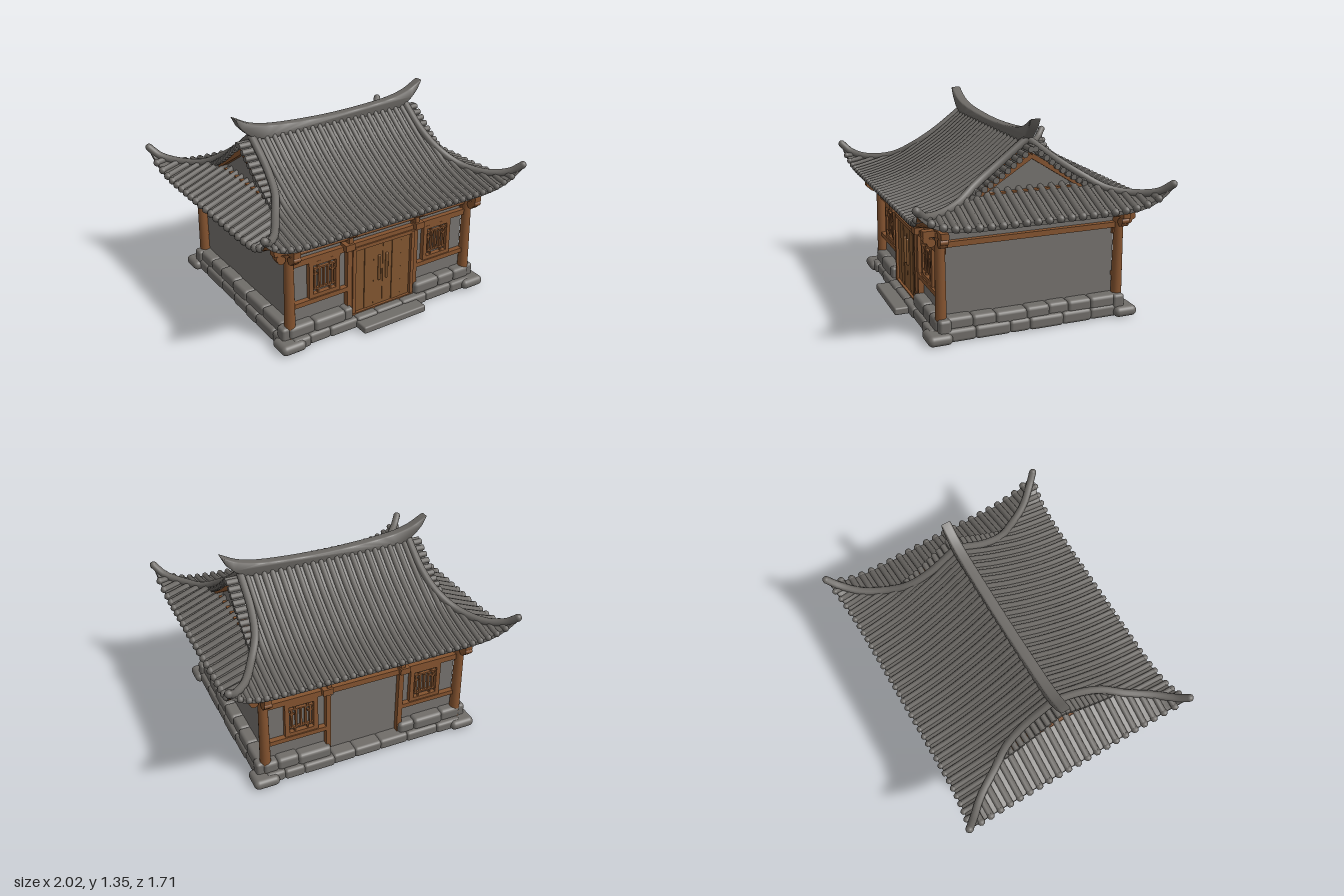
import * as THREE from 'three';
import { mergeGeometries, toCreasedNormals } from 'three/addons/utils/BufferGeometryUtils.js';
import { RoundedBoxGeometry } from 'three/addons/geometries/RoundedBoxGeometry.js';

const V = (x, y, z) => new THREE.Vector3(x, y, z);
const mix = THREE.MathUtils.lerp;
const SIDES = [1, -1];

export function createModel() {
  const model = new THREE.Group();
  const mat = (name, color, side = THREE.FrontSide) => {
    const m = new THREE.MeshStandardMaterial({ color, side });
    m.name = name;
    return m;
  };
  const tile = mat('roof tile grey', 0x6b6864, THREE.DoubleSide);
  const plaster = mat('plaster grey', 0x75726e);
  const stone = mat('stone grey', 0x706d69);
  const wood = mat('timber brown', 0x84532f, THREE.DoubleSide);
  const doorWood = mat('door brown', 0x80552f);

  let seed = 7;
  const rand = () => (seed = (seed * 16807) % 2147483647) / 2147483647;

  const add = (name, geo, material) => {
    const m = new THREE.Mesh(geo, material);
    m.name = name;
    model.add(m);
    return m;
  };
  const box = (name, w, h, d, x, y, z, material) =>
    add(name, new THREE.BoxGeometry(w, h, d), material).position.set(x, y, z);
  const rod = (r, len, axis, x, y, z) => {
    const g = new THREE.CylinderGeometry(r, r, len, 12);
    if (axis === 'x') g.rotateZ(Math.PI / 2);
    if (axis === 'z') g.rotateX(Math.PI / 2);
    return g.translate(x, y, z);
  };
  // Smooth sheet from a rule fn(u, v), u in -1..1, v in 0..1
  const sheet = (name, nu, nv, fn, material) => {
    const g = new THREE.PlaneGeometry(1, 1, nu, nv), p = g.attributes.position;
    for (let i = 0; i < p.count; i++) p.setXYZ(i, ...fn(p.getX(i) * 2, p.getY(i) + 0.5));
    g.computeVertexNormals();
    return add(name, g, material);
  };

  // ---- Roof form: hip line plus the slope profiles
  const hip = new THREE.CatmullRomCurve3([V(.61, 1.2, 0), V(.615, 1.05, .2), V(.65, .945, .36), V(.73, .865, .5),
    V(.83, .84, .66), V(.93, .865, .77), V(.985, .92, .83)]);
  const hipPts = hip.getPoints(80);
  const look = (pts, key, val, q) => {
    for (let i = 1; i < pts.length; i++) if (pts[i][key] >= q) {
      const a = pts[i - 1], b = pts[i];
      return mix(a[val], b[val], THREE.MathUtils.clamp((q - a[key]) / (b[key] - a[key] || 1), 0, 1));
    }
    return pts[pts.length - 1][val];
  };
  const mainPts = new THREE.CatmullRomCurve3([V(0, 1.2, 0), V(0, 1.12, .1), V(0, 1.042, .2), V(0, .94, .36), V(0, .865, .5),
    V(0, .81, .65), V(0, .767, .83)]).getPoints(60);
  const sidePts = [V(.6, .92, 0), V(.75, .86, 0), V(.9, .797, 0), V(.99, .765, 0)];
  const f = z => look(mainPts, 'z', 'y', Math.abs(z));
  const mainY = (x, z) => mix(f(z), look(hipPts, 'z', 'y', z), Math.min(1, Math.abs(x) / look(hipPts, 'z', 'x', z)) ** 8);
  const sideY = (x, z) => mix(look(sidePts, 'x', 'y', x), look(hipPts, 'x', 'y', x),
    Math.min(1, Math.abs(z) / Math.max(.01, look(hipPts, 'x', 'z', x))) ** 7);
  const eaveZ = x => .78 + .05 * Math.min(1, Math.abs(x) / .985) ** 6;
  const eaveX = z => .955 + .03 * Math.min(1, Math.abs(z) / .83) ** 6;

  const rolls = [];
  const roll = (fn, a, b, r) => {
    const pts = [];
    for (let i = 0; i <= 9; i++) pts.push(fn(mix(a, b, i / 9)));
    rolls.push(new THREE.TubeGeometry(new THREE.CatmullRomCurve3(pts), 14, r, 7));
    const end = pts[9];
    rolls.push(new THREE.SphereGeometry(r * 1.15, 8, 6).translate(end.x, end.y, end.z));
  };

  for (const s of SIDES) {
    sheet('mainRoofSlope', 48, 24, (u, v) => {
      const z0 = v * .83, z = z0 * (1 - .06 * (1 - u ** 6) * v ** 3), x = u * look(hipPts, 'z', 'x', z0);
      return [x, mix(f(z), look(hipPts, 'z', 'y', z0), Math.abs(u) ** 8), s * z];
    }, tile);
    sheet('sideRoofSlope', 40, 12, (u, v) => {
      const x0 = .63 + .355 * v, x = x0 - .03 * (1 - u ** 6) * v ** 3, z = u * look(hipPts, 'x', 'z', x0);
      return [s * x, mix(look(sidePts, 'x', 'y', x), look(hipPts, 'x', 'y', x0), Math.abs(u) ** 7), z];
    }, tile);
    // Rows of round tiles
    for (let i = -16; i <= 16; i++) {
      const x = i * .057, a = Math.abs(x) < .61 ? .01 : look(hipPts, 'x', 'z', Math.abs(x));
      if (eaveZ(x) - a > .03) roll(z => V(x, mainY(x, z), s * z), a, eaveZ(x), .019);
    }
    for (let i = -10; i <= 10; i++) {
      const z = i * .074, a = Math.max(.64, look(hipPts, 'z', 'x', Math.abs(z)));
      if (eaveX(z) - a > .03) roll(x => V(s * x, sideY(x, z), z), a, eaveX(z), .023);
    }

    // Eave edge and timber soffit
    const frontEdge = u => [u * .985, mainY(u * .985, eaveZ(u * .985)), s * eaveZ(u * .985)];
    const sideEdge = u => [s * eaveX(u * .83), sideY(eaveX(u * .83), u * .83), u * .83];
    for (const [edge, inner] of [[frontEdge, u => [u * .69, .715, s * .585]], [sideEdge, u => [s * .69, .715, u * .585]]]) {
      sheet('eaveEdge', 40, 1, (u, v) => { const e = edge(u); return [e[0], e[1] - .025 * v, e[2]]; }, tile);
      sheet('soffit', 40, 8, (u, v) => {
        const o = edge(u), n = inner(u);
        return [mix(n[0], o[0], v), mix(n[1], o[1] - .025, v ** 1.6), mix(n[2], o[2], v)];
      }, wood);
    }

    // Gable: wall, barge boards and verge tiles
    const tri = new THREE.Shape([new THREE.Vector2(-.42, .87), new THREE.Vector2(.42, .87), new THREE.Vector2(.2, 1.01),
      new THREE.Vector2(0, 1.16), new THREE.Vector2(-.2, 1.01)]);
    const wall = new THREE.ExtrudeGeometry(tri, { depth: .02, bevelEnabled: false }).rotateY(Math.PI / 2);
    add('gableWall', wall, plaster).position.x = s * .64 - .01;
    box('gableSill', .03, .014, .7, s * .665, .892, 0, wood);
    for (const k of SIDES) {
      const board = add('bargeBoard', new THREE.BoxGeometry(.035, .032, .43), wood);
      board.position.set(s * .67, 1, k * .18);
      board.rotation.x = k * .565;
      for (let i = 0; i < 11; i++) {
        const z = k * (.015 + i * .038);
        rolls.push(rod(.02, .1, 'x', s * .66, f(z) - .03, z));
      }
    }
    sheet('verge', 24, 1, (u, v) => [s * mix(.6, .7, v), f(u * .41) - .035, u * .41], tile);

    // Curved hip ridges
    for (const k of SIDES) {
      const pts = hip.getPoints(14).map(p => V(s * p.x, p.y + .008, k * p.z));
      add('hipRidge', new THREE.TubeGeometry(new THREE.CatmullRomCurve3(pts), 40, .026, 10), tile);
      add('hipTip', new THREE.SphereGeometry(.026, 10, 8), tile).position.copy(pts[14]);
    }
  }
  add('roofTiles', mergeGeometries(rolls.map(g => g.toNonIndexed())), tile);

  // Upswept main ridge
  const top = [[.73, 1.345], [.6, 1.28], [.4, 1.245], [0, 1.228]], low = [[0, 1.165], [.5, 1.18], [.62, 1.215], [.7, 1.29]];
  const flip = a => a.map(([x, y]) => [-x, y]).reverse();
  const curve = a => new THREE.SplineCurve(a.map(p => new THREE.Vector2(...p))).getPoints(28);
  const outline = [...curve([...top, ...flip(top).slice(1)]), ...curve([...flip(low), ...low.slice(1)])];
  const ridge = new THREE.ExtrudeGeometry(new THREE.Shape(outline),
    { depth: .044, bevelSize: .006, bevelThickness: .012, bevelSegments: 2 }).translate(0, 0, -.022);
  add('mainRidge', toCreasedNormals(ridge, .7), tile);

  // ---- Body
  box('walls', 1.37, .71, 1.17, 0, .365, 0, plaster);
  const timber = [];
  for (const s of SIDES) {
    timber.push(rod(.02, 1.42, 'x', 0, .645, s * .6), rod(.022, 1.5, 'x', 0, .73, s * .62), rod(.022, 1.3, 'z', s * .73, .735, 0));
    box('frontBeam', 1.42, .04, .05, 0, .575, s * .595, wood);
    box('sideBeam', .05, .036, 1.2, s * .695, .617, 0, wood);
    for (const k of SIDES) {
      // Corner column with scrolled brackets
      add('column', new THREE.CylinderGeometry(.03, .037, .67, 16), wood).position.set(k * .71, .4, s * .61);
      timber.push(rod(.028, .05, 'z', k * .77, .645, s * .61), rod(.022, .05, 'z', k * .785, .66, s * .61),
        rod(.028, .05, 'x', k * .71, .645, s * .67), rod(.022, .05, 'x', k * .71, .665, s * .7),
        rod(.045, .03, 'y', k * .71, .69, s * .61));
      box('bracketArm', .13, .04, .05, k * .755, .7, s * .61, wood);
      box('bracketArm', .05, .04, .13, k * .71, .7, s * .655, wood);
      // Bays beside the doorway
      const x = k * .452, z = s * .6;
      box('post', .035, .5, .045, k * .265, .32, z, wood);
      box('sillBeam', .43, .032, .045, k * .48, .278, z, wood);
      box('bracketBlock', .07, .045, .07, k * .278, .59, s * .615, wood);
      box('bracketPost', .03, .14, .06, k * .265, .66, s * .605, wood);
      timber.push(rod(.026, .045, 'x', k * .265, .69, s * .65));
      // Lattice window
      for (const e of SIDES) {
        box('windowStile', .03, .25, .035, x + e * .1, .425, z, wood);
        box('windowRail', .23, .026, .035, x, .425 + e * .115, z, wood);
        box('latticeRail', .17, .01, .02, x, .425 + e * .072, z, wood);
        for (const c of SIDES) box('latticeStub', .01, .04, .02, x + c * .045, .425 + e * .09, z, wood);
        box('latticeEnd', .04, .01, .02, x + e * .065, .46, z, wood);
      }
      for (let i = -2; i <= 2; i++) box('latticeBar', .012, .15, .02, x + i * .032, .425, z, wood);
    }
  }
  add('roundTimbers', mergeGeometries(timber), wood);

  // Door at the front
  box('doorHead', .5, .025, .05, 0, .553, .605, wood);
  box('doorThreshold', .5, .025, .06, 0, .07, .605, wood);
  for (const k of SIDES) {
    box('doorJamb', .025, .49, .055, k * .235, .31, .605, wood);
    for (let i = 0; i < 3; i++)
      box('doorPlank', .071, .46, .04 + (i % 2) * .006, k * (.037 + i * .0735), .31, .595, doorWood);
    const pull = add('doorPull', new THREE.CapsuleGeometry(.011, .17, 4, 8), doorWood);
    pull.position.set(k * .03, .36, .62);
  }

  // ---- Stone footing
  box('footing', 1.5, .06, 1.3, 0, .03, 0, stone);
  const rock = (w, h, d, x, y, z) =>
    add('footingStone', new RoundedBoxGeometry(w, h, d, 2, Math.min(w, h, d) * .28), stone).position.set(x, y, z);
  const course = (half, place) => {
    for (let a = -half; a < half - .02;) {
      const len = Math.min(half - a, .12 + rand() * .12);
      place(a + len / 2, len + .008);
      a += len;
    }
  };
  for (const s of SIDES) {
    course(.72, (x, w) => rock(w, .075, .12, x, .0375, s * (.615 + rand() * .02)));
    course(.6, (z, w) => rock(.12, .085, w, s * (.715 + rand() * .015), .0425, z));
    course(.63, (z, w) => rock(.1, .085, w, s * (.705 + rand() * .015), .105 + rand() * .008, z));
    for (const k of SIDES) {
      course(.235, (x, w) => rock(w, .09, .1, x + k * .495, .1 + rand() * .008, s * (.6 + rand() * .015)));
      rock(.07, .1, .08, k * .745, .1, s * .6);
      // Rounded pad under each column
      const pad = add('columnPad', new RoundedBoxGeometry(.175, .07, .16, 4, .033), stone);
      pad.position.set(k * .732, .035, s * .64);
    }
  }
  add('doorStep', new RoundedBoxGeometry(.5, .05, .16, 2, .012), stone).position.set(0, .03, .7);

  return model;
}
